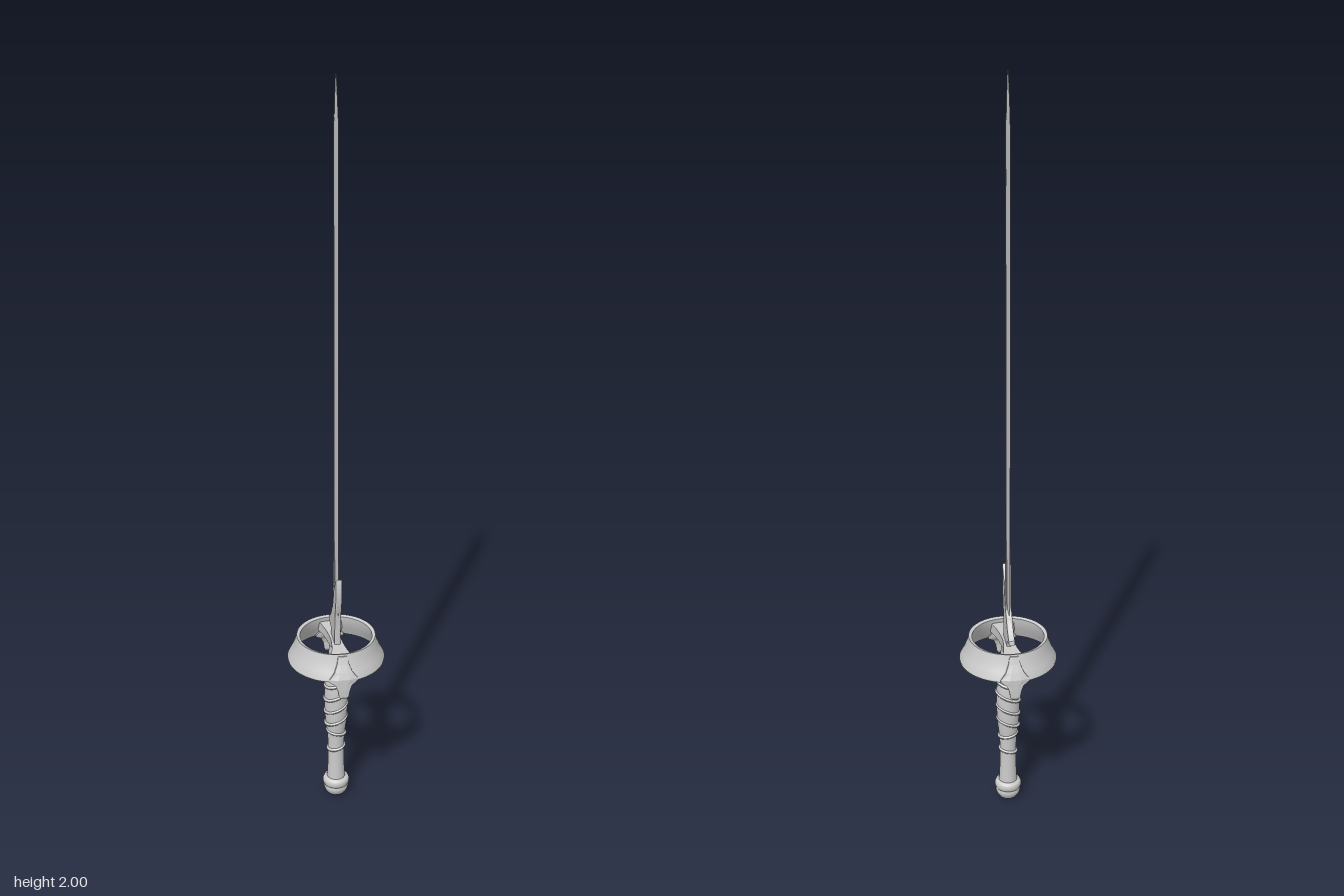
import * as THREE from 'three';

const material = new THREE.MeshStandardMaterial({ color: 0xcccccc });
const flatMaterial = new THREE.MeshStandardMaterial({ color: 0xcccccc, flatShading: true });

// Skin a stack of closed rings (listed upwards, each running +x, +z, -x, -z) and cap both ends
function loft(rings) {
  const n = rings[0].length, last = (rings.length - 1) * n, index = [];
  for (let r = 0; r < rings.length - 1; r++) {
    for (let i = 0; i < n; i++) {
      const a = r * n + i, b = r * n + (i + 1) % n;
      index.push(a, a + n, b, b, a + n, b + n);
    }
  }
  for (let i = 1; i < n - 1; i++) {
    index.push(0, i, i + 1, last, last + i + 1, last + i);
  }
  const geometry = new THREE.BufferGeometry();
  geometry.setAttribute('position', new THREE.Float32BufferAttribute(rings.flat(2), 3));
  geometry.setIndex(index);
  geometry.computeVertexNormals();
  return geometry;
}

const lathe = (points, segments) =>
  new THREE.LatheGeometry(points.map(([r, y]) => new THREE.Vector2(r, y)), segments);

export function createModel() {
  const model = new THREE.Group();
  const add = (name, geometry, mat = material, parent = model) => {
    const mesh = new THREE.Mesh(geometry, mat);
    mesh.name = name;
    parent.add(mesh);
    return mesh;
  };

  // Blade: diamond section, [y, back z, front z, half thickness]
  const bladeRows = [
    [0.49, -0.015, 0.025, 0.005], [0.57, -0.02, 0.034, 0.005], [0.6, -0.026, 0.039, 0.005],
    [0.64, -0.038, 0.039, 0.005], [1.86, -0.038, 0.039, 0.004], [1.9, -0.032, 0.033, 0.004],
    [1.95, -0.019, 0.019, 0.003], [1.985, -0.007, 0.007, 0.002], [2, -0.001, 0.001, 0.0005],
  ];
  add('blade', loft(bladeRows.map(([y, back, front, t]) =>
    [[t, y, 0], [0, y, front], [-t, y, 0], [0, y, back]])), flatMaterial);

  // Raised spine near the root of the blade
  add('bladeSpine', loft([[0.49, 0.012, 0.007], [0.7, 0.009, 0.0065], [0.79, 0.002, 0.005]].map(([y, w, t]) =>
    [[t, y, -w], [t, y, w], [-t, y, w], [-t, y, -w]])), flatMaterial);

  // Leaf-shaped collar sweeping across the blade root, drawn as (z, y)
  const collar = new THREE.Shape();
  collar.moveTo(0.03, 0.48);
  collar.lineTo(-0.035, 0.48);
  collar.lineTo(-0.035, 0.51);
  collar.lineTo(-0.073, 0.518);
  collar.lineTo(-0.07, 0.53);
  collar.quadraticCurveTo(-0.035, 0.55, -0.025, 0.575);
  collar.quadraticCurveTo(0, 0.6, 0.005, 0.64);
  collar.quadraticCurveTo(0.018, 0.67, 0.047, 0.7);
  collar.quadraticCurveTo(0.058, 0.65, 0.036, 0.59);
  collar.quadraticCurveTo(0.028, 0.54, 0.03, 0.48);
  const collarGeometry = new THREE.ExtrudeGeometry(collar, {
    depth: 0.01, bevelThickness: 0.003, bevelSize: 0.002, bevelOffset: -0.002, bevelSegments: 1, curveSegments: 8,
  });
  collarGeometry.translate(0, 0, -0.005).rotateY(-Math.PI / 2);
  add('bladeCollar', collarGeometry);

  // Guard: flared ring; separate strips keep its rims sharp
  const guard = new THREE.Group();
  guard.name = 'guard';
  model.add(guard);
  const strips = {
    guardOuterWall: [[0.129, 0.44], [0.13, 0.446], [0.12, 0.465], [0.111, 0.487], [0.105, 0.51]],
    guardTopRim: [[0.105, 0.51], [0.096, 0.507]],
    guardInnerWall: [[0.096, 0.507], [0.098, 0.49], [0.106, 0.468], [0.118, 0.442]],
    guardBottomRim: [[0.118, 0.442], [0.129, 0.44]],
  };
  for (const [name, points] of Object.entries(strips)) add(name, lathe(points, 64), material, guard);

  // Front and back prongs gripping the ring, [y, outer z, inner z, half width]
  const prongRows = [
    [0.388, 0.128, 0.121, 0.008], [0.395, 0.131, 0.119, 0.013], [0.415, 0.132, 0.118, 0.016],
    [0.43, 0.132, 0.114, 0.022], [0.441, 0.132, 0.106, 0.038], [0.447, 0.132, 0.104, 0.038],
    [0.465, 0.125, 0.101, 0.024], [0.485, 0.116, 0.099, 0.016], [0.505, 0.109, 0.097, 0.012],
  ];
  const prong = loft(prongRows.map(([y, out, inner, w]) => [
    [w, y, inner], [w, y, out - w * w * 4], [w * 0.4, y, out], [-w * 0.4, y, out],
    [-w, y, out - w * w * 4], [-w, y, inner],
  ]));
  for (const turn of [0, Math.PI]) {
    add(turn ? 'backProng' : 'frontProng', prong, flatMaterial, guard).rotation.y = turn;
  }

  // Bow-tie crossbar joining ring and grip
  const bar = new THREE.Shape();
  bar.moveTo(-0.033, -0.1);
  bar.lineTo(0.033, -0.1);
  bar.quadraticCurveTo(0.016, -0.055, 0.014, 0);
  bar.quadraticCurveTo(0.016, 0.055, 0.033, 0.1);
  bar.lineTo(-0.033, 0.1);
  bar.quadraticCurveTo(-0.016, 0.055, -0.014, 0);
  bar.quadraticCurveTo(-0.016, -0.055, -0.033, -0.1);
  const barGeometry = new THREE.ExtrudeGeometry(bar, { depth: 0.028, bevelEnabled: false, curveSegments: 10 });
  barGeometry.rotateX(Math.PI / 2).translate(0, 0.495, 0);
  add('crossbar', barGeometry, material, guard);

  // Grip: swelling upper half, waist and slim lower half
  const gripProfile = [
    [0.025, 0.05], [0.023, 0.09], [0.022, 0.14], [0.023, 0.19], [0.025, 0.21], [0.029, 0.24],
    [0.031, 0.28], [0.032, 0.33], [0.029, 0.37], [0.022, 0.405], [0.019, 0.43], [0.02, 0.455], [0.018, 0.48],
  ];
  add('grip', lathe(gripProfile, 24));

  // Slanted wrap bands, [height, radius, tilt]
  const bands = [
    [0.155, 0.0215, 0.2], [0.205, 0.0235, -0.2], [0.245, 0.028, 0.35],
    [0.285, 0.0295, 0.4], [0.325, 0.0305, 0.4], [0.362, 0.0285, 0.3],
  ];
  for (const [y, r, tilt] of bands) {
    const band = new THREE.TorusGeometry(r, 0.005, 8, 24);
    band.rotateX(Math.PI / 2);
    const p = band.attributes.position;
    for (let i = 0; i < p.count; i++) p.setY(i, p.getY(i) + p.getX(i) * tilt);
    band.computeVertexNormals();
    add('gripBand', band).position.y = y;
  }

  // Pommel: ringed collar over a rounded cap
  add('pommelRing', lathe([[0.024, 0.058], [0.033, 0.055], [0.036, 0.049], [0.036, 0.04], [0.033, 0.034], [0.028, 0.033]].reverse(), 24));
  add('pommelCap', lathe([[0, 0], [0.014, 0.001], [0.024, 0.006], [0.031, 0.016], [0.034, 0.027], [0.031, 0.035]], 24));
  return model;
}
